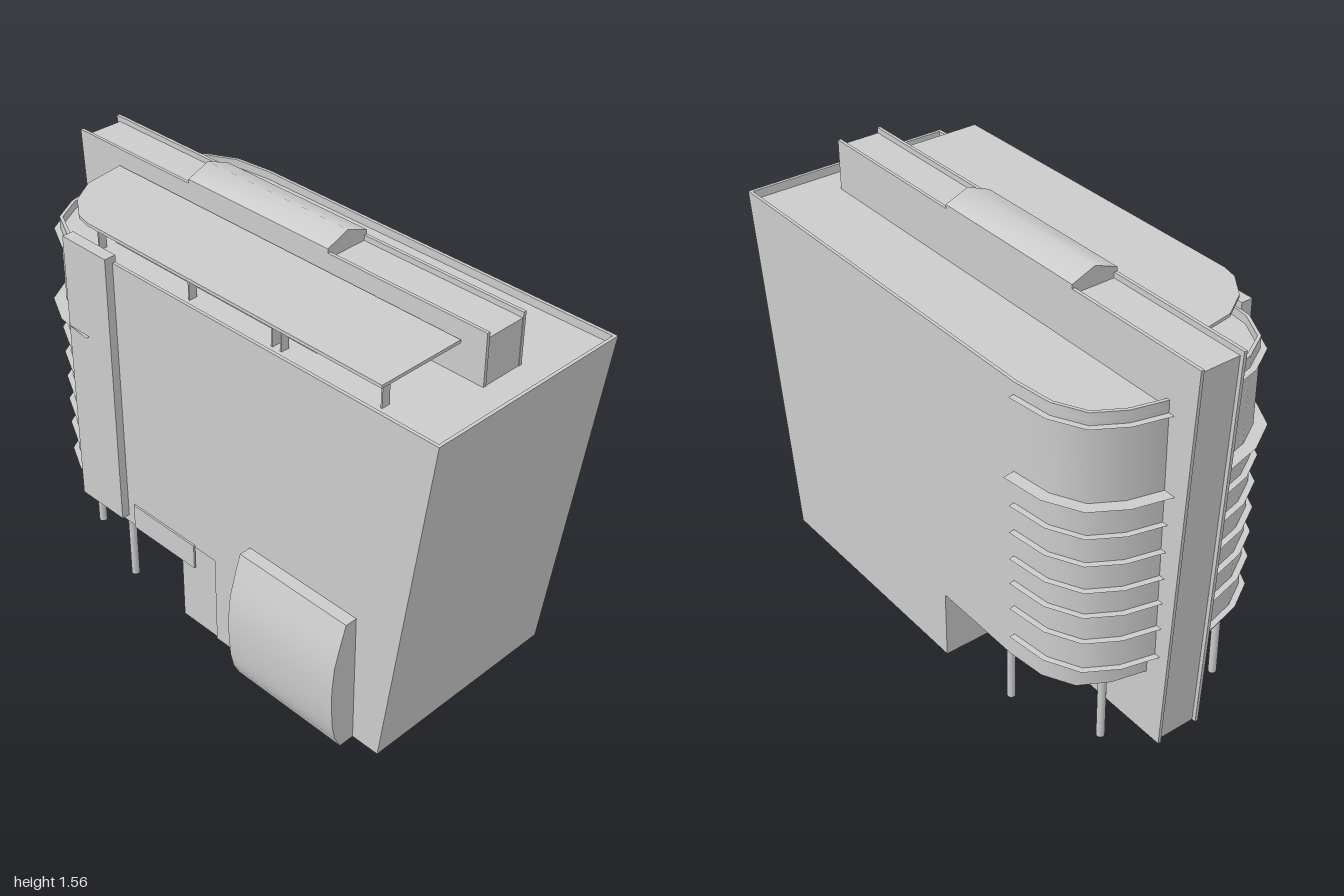
import * as THREE from 'three';
import { toCreasedNormals } from 'three/addons/utils/BufferGeometryUtils.js';

const grey = new THREE.MeshStandardMaterial({ color: 0xcccccc, side: THREE.DoubleSide });
const FRONT = 0.379, BACK = -0.445, MID = (FRONT + BACK) / 2;

// Rounded end of the plan, from the back wall round to the front wall
const half = [[-0.53, BACK], [-0.68, -0.428], [-0.79, -0.372], [-0.85, -0.27], [-0.88, -0.15]];
const arc = [...half, ...half.slice().reverse().map(([x, z]) => [x, 2 * MID - z])];

function offsetArc(d) {
  return arc.map(([x, z], i) => {
    const a = arc[Math.max(i - 1, 0)], b = arc[Math.min(i + 1, arc.length - 1)];
    const tx = b[0] - a[0], tz = b[1] - a[1], l = Math.hypot(tx, tz);
    return [x - d * tz / l, z + d * tx / l];
  });
}

const outline = (pts, sign = 1) => new THREE.Shape(pts.map(([x, y]) => new THREE.Vector2(x, sign * y)));

// The far right wall leans outwards with height
const lean = (x, y) => (x > 0.8 ? x + 0.1333 * y : x);

// Plan outline (x, z) raised from y0 to y1
function raise(pts, y0, y1, hole) {
  const shape = outline(pts, -1);
  if (hole) shape.holes.push(outline(hole, -1));
  const g = new THREE.ExtrudeGeometry(shape, { depth: y1 - y0, bevelEnabled: false });
  g.rotateX(-Math.PI / 2).translate(0, y0, 0);
  const p = g.attributes.position;
  for (let i = 0; i < p.count; i++) p.setX(i, lean(p.getX(i), p.getY(i)));
  return toCreasedNormals(g, 0.6);
}

// Open sheet between two rows of points
function sheet(low, high) {
  const v = [];
  for (let i = 0; i < low.length - 1; i++) {
    v.push(...low[i], ...low[i + 1], ...high[i + 1], ...low[i], ...high[i + 1], ...high[i]);
  }
  const g = new THREE.BufferGeometry();
  g.setAttribute('position', new THREE.Float32BufferAttribute(v, 3));
  return toCreasedNormals(g, 0.6);
}

// Upright wall following a plan path (x, z), outside on the right of travel reversed
function wall(path, y0, y1) {
  const row = (y) => path.slice().reverse().map(([x, z]) => [lean(x, y), y, z]);
  return sheet(row(y0), row(y1));
}

// Elevation outline (x, y) given thickness from z0 to z1
function elevation(pts, z0, z1) {
  return new THREE.ExtrudeGeometry(outline(pts), { depth: z1 - z0, bevelEnabled: false }).translate(0, 0, z0);
}

// Section outline (-z, y) run from x0 to x1
function section(pts, x0, x1, crease) {
  const g = new THREE.ExtrudeGeometry(outline(pts), { depth: x1 - x0, bevelEnabled: false });
  g.rotateY(Math.PI / 2).translate(x0, 0, 0);
  return toCreasedNormals(g, crease);
}

export function createModel() {
  const group = new THREE.Group();
  const add = (name, geometry) => {
    const mesh = new THREE.Mesh(geometry, grey);
    mesh.name = name;
    group.add(mesh);
  };
  const box = (name, x0, x1, y0, y1, z0, z1) =>
    add(name, new THREE.BoxGeometry(x1 - x0, y1 - y0, z1 - z0)
      .translate((x0 + x1) / 2, (y0 + y1) / 2, (z0 + z1) / 2));

  // Ground floor walls, open below, with an entrance wall and partition
  add('groundFloorWalls', wall([[0.04, FRONT], [0.82, FRONT], [0.82, BACK], [-0.14, BACK], [-0.14, 0.372]], 0, 0.36));
  add('entranceWall', wall([[-0.14, 0.372], [0.04, 0.372]], 0, 0.36));
  add('entrancePartition', wall([[0.04, 0.07], [0.04, FRONT]], 0, 0.36));

  // Fascia band under the overhang, set in round the curve
  add('fascia', wall([[-0.14, BACK], ...arc.map(([x, z]) => [x * 0.96, z]), [-0.14, FRONT]], 0.27, 0.36));

  // Hollow upper floors, roof and the parapet around it
  const plan = [...arc, [0.82, FRONT], [0.82, BACK]];
  const inner = [...offsetArc(-0.012), [0.808, FRONT - 0.012], [0.808, BACK + 0.012]];
  add('upperWalls', wall([...plan, arc[0]], 0.36, 1.32));
  add('roof', raise(plan, 1.31, 1.32));
  add('parapet', raise(plan, 1.32, 1.35, inner));

  // Thin ledges wrapping the rounded end
  const ledge = (y, w) => {
    const g = new THREE.ShapeGeometry(outline([...arc, ...offsetArc(w).reverse()], -1));
    add('ledge', g.rotateX(-Math.PI / 2).translate(0, y, 0));
  };
  for (const y of [0.37, 0.49, 0.595, 0.695, 0.8, 0.905, 1.305]) ledge(y, 0.022);
  ledge(1.025, 0.045);

  // Tall hollow fin: two side plates projecting past a recessed edge and top
  for (const z of [-0.147, 0.018]) {
    add('finPlate', elevation([[-0.92, 0], [-0.5, 0], [-0.5, 1.3], [0.867, 1.3], [0.867, 1.51], [-1, 1.51]],
      z, z + 0.012));
  }
  const finSheet = (name, pts) => {
    const row = (z) => pts.map(([x, y]) => [x, y, z]);
    add(name, sheet(row(0.02), row(-0.14)));
  };
  finSheet('finEdge', [[0.865, 1.3], [0.865, 1.49], [-0.985, 1.49], [-0.905, 0]]);
  finSheet('finInnerEnd', [[-0.5, 0], [-0.5, 1.3]]);
  add('finRidge', section([[-0.03, 1.49], [-0.03, 1.525], [0.058, 1.56], [0.147, 1.525], [0.147, 1.49]],
    -0.43, 0.22, 0.9));

  // Front pilaster and entrance panel
  box('pilaster', -0.64, -0.42, 0.3, 1.375, 0.365, 0.41);
  box('entrancePanel', -0.38, -0.06, 0.27, 0.37, 0.38, 0.387);

  // Bulging bay at street level
  const bay = [[0.37, 0], [0.44, 0], [0.465, 0.05], [0.478, 0.11], [0.484, 0.2], [0.484, 0.28],
    [0.474, 0.37], [0.45, 0.45], [0.425, 0.525], [0.37, 0.525]];
  add('streetBay', section(bay.map(([z, y]) => [-z, y]), 0.22, 0.708, 0.6));

  // Columns under the overhang
  for (const [x, z] of [[-0.44, 0.35], [-0.44, 0.09], [-0.77, 0.235], [-0.44, -0.39], [-0.44, -0.16], [-0.77, -0.27]]) {
    add('column', new THREE.CylinderGeometry(0.015, 0.015, 0.36, 12).translate(x, 0.18, z));
  }

  // Roof room, canopy and its thin posts
  box('roofRoom', -0.56, 0.395, 1.32, 1.44, 0.03, 0.25);
  add('roofCanopy', raise([[-0.78, 0.04], [0.778, 0.04], [0.778, FRONT], [-0.54, FRONT],
    [-0.6, 0.365], [-0.69, 0.3], [-0.755, 0.2]], 1.44, 1.452));
  for (const x of [-0.56, -0.11, 0.27, 0.31, 0.728]) {
    box('canopyPost', x - 0.003, x + 0.003, 1.32, 1.44, 0.29, 0.322);
  }
  return group;
}
